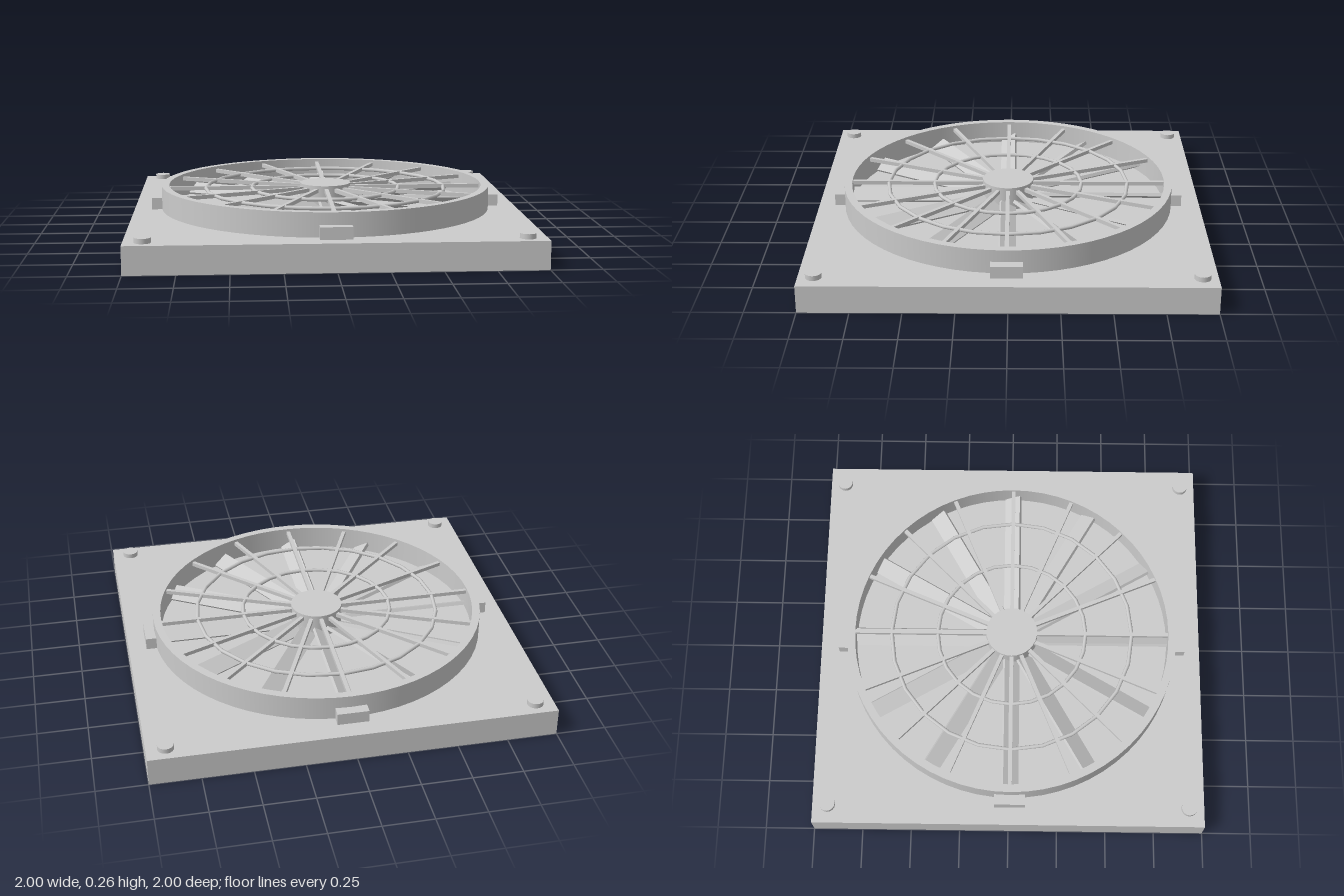
import * as THREE from 'three';

const mat = new THREE.MeshStandardMaterial({ color: 0xcccccc, side: THREE.DoubleSide });

function add(parent, name, geometry, x = 0, y = 0, z = 0) {
  const mesh = new THREE.Mesh(geometry, mat);
  mesh.name = name;
  mesh.position.set(x, y, z);
  parent.add(mesh);
  return mesh;
}

// Box without its underside
function openBox(w, h, d) {
  const g = new THREE.BoxGeometry(w, h, d);
  const index = Array.from(g.index.array);
  index.splice(18, 6);
  g.setIndex(index);
  g.clearGroups();
  return g;
}

// Upright cylinder with a closed top and an open bottom
function cap(parent, name, r, bottom, top, sides, x = 0, z = 0) {
  const group = new THREE.Group();
  group.name = name;
  group.position.set(x, 0, z);
  parent.add(group);
  add(group, name + 'Wall', new THREE.CylinderGeometry(r, r, top - bottom, sides, 1, true), 0, (top + bottom) / 2, 0);
  add(group, name + 'Top', new THREE.CircleGeometry(r, sides).rotateX(-Math.PI / 2), 0, top, 0);
}

// Places count copies of a geometry around the vertical axis
function radial(parent, name, count, geometry) {
  for (let i = 0; i < count; i++) {
    add(parent, name, geometry).rotation.y = (i / count) * Math.PI * 2;
  }
}

export function createModel() {
  const model = new THREE.Group();
  model.name = 'roundVent';

  // Square base tray, hollow underneath
  add(model, 'basePlate', openBox(2, 0.14, 2), 0, 0.07, 0);

  // Corner screws
  for (const sx of [-1, 1]) {
    for (const sz of [-1, 1]) cap(model, 'cornerScrew', 0.04, 0.115, 0.165, 16, sx * 0.905, sz * 0.923);
  }

  // Everything round shares one axis
  const vent = new THREE.Group();
  vent.name = 'ventAssembly';
  vent.position.z = 0.007;
  model.add(vent);

  // Outer ring: outer wall, rim and inner wall
  const outer = 0.86, inner = 0.82, low = 0.055, high = 0.262;
  const ring = new THREE.Group();
  ring.name = 'outerRing';
  vent.add(ring);
  for (const [name, r] of [['ringOuterWall', outer], ['ringInnerWall', inner]]) {
    add(ring, name, new THREE.CylinderGeometry(r, r, high - low, 64, 1, true), 0, (high + low) / 2, 0);
  }
  add(ring, 'ringRim', new THREE.RingGeometry(inner, outer, 64).rotateX(-Math.PI / 2), 0, high, 0);

  // Hub
  cap(vent, 'hub', 0.133, low, high, 32);

  // Twelve tilted blades
  const blade = new THREE.BoxGeometry(0.72, 0.018, 0.09);
  blade.rotateX(-Math.PI / 6).translate(0.46, 0.165, 0);
  radial(vent, 'blade', 12, blade);

  // Guard grille: sixteen spokes and two hoops
  radial(vent, 'guardSpoke', 16, new THREE.BoxGeometry(0.72, 0.02, 0.02).translate(0.465, 0.237, 0));
  for (const r of [0.388, 0.63]) {
    add(vent, 'guardHoop', new THREE.TorusGeometry(r, 0.01, 8, 24).rotateX(Math.PI / 2), 0, 0.237, 0);
  }

  // Four retaining clips around the ring
  radial(vent, 'clip', 4, openBox(0.07, 0.085, 0.156).translate(0.875, 0.158, 0));

  return model;
}
